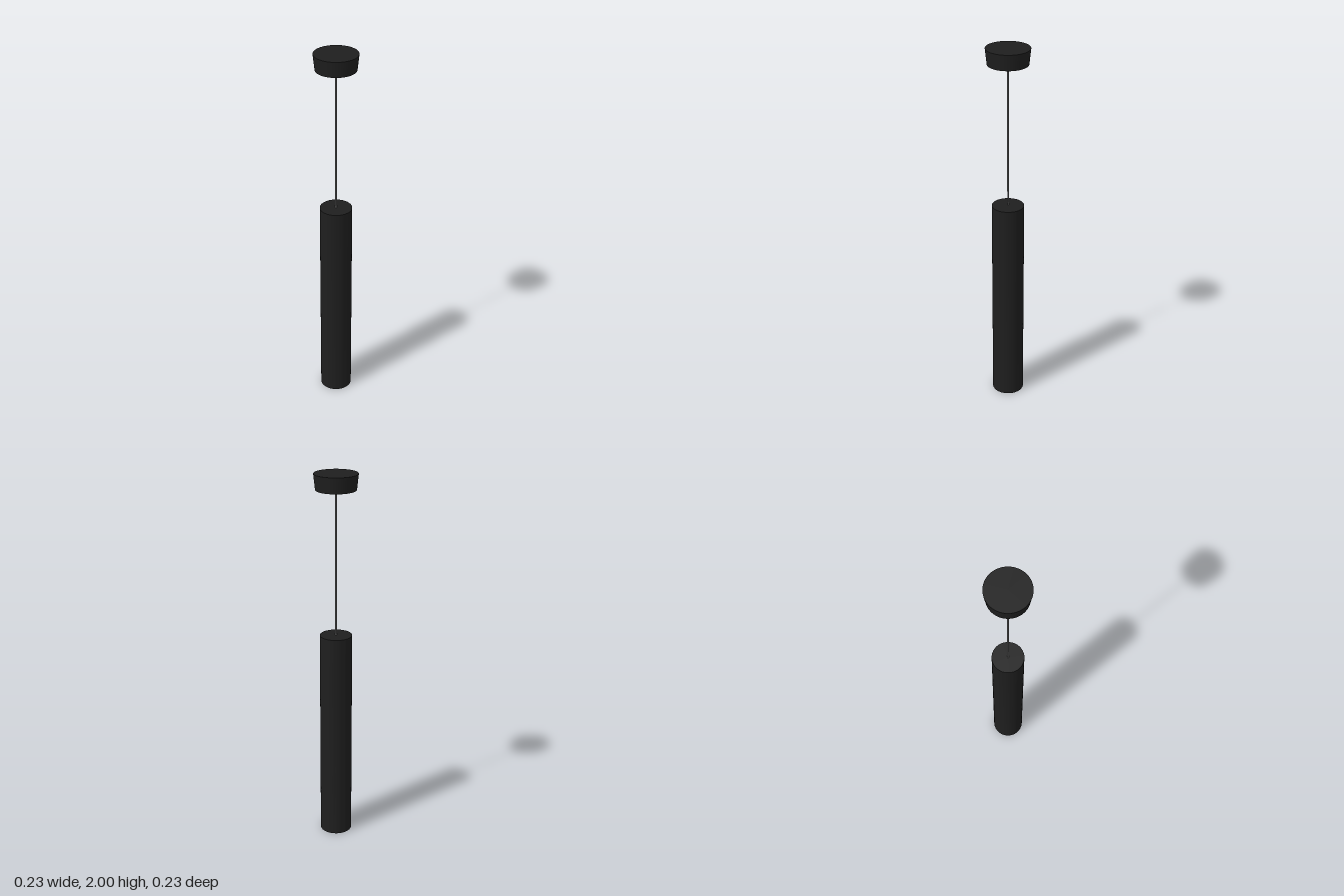
import * as THREE from 'three';
import { toCreasedNormals } from 'three/addons/utils/BufferGeometryUtils.js';

const SIDES = 64;

export function createModel() {
  const group = new THREE.Group();
  group.name = 'pendantLamp';
  const black = new THREE.MeshStandardMaterial({ color: 0x1e1e1e });
  const steel = new THREE.MeshStandardMaterial({ color: 0x777777 });
  const glass = new THREE.MeshStandardMaterial({ color: 0xaaa79f });

  const add = (name, geometry, material, y = 0, parent = group) => {
    const mesh = new THREE.Mesh(geometry, material);
    mesh.name = name;
    mesh.position.y = y;
    parent.add(mesh);
    return mesh;
  };
  const lathe = (points) => toCreasedNormals(
    new THREE.LatheGeometry(points.map(([r, y]) => new THREE.Vector2(r, y)), SIDES), 0.6);

  // Ceiling canopy, tapering slightly downwards
  add('canopy', new THREE.CylinderGeometry(0.114, 0.105, 0.083, SIDES), black, 1.9585);

  // Suspension cable
  add('cable', new THREE.CylinderGeometry(0.004, 0.004, 0.78, 12), steel, 1.53);

  // Long tubular shade, recessed at the lower end
  add('shade', lathe([
    [0, 0.05], [0.077, 0.05], [0.077, 0], [0.085, 0], [0.085, 1.145], [0, 1.145],
  ]), black);

  // Light diffuser inside the recess
  add('diffuser', new THREE.CylinderGeometry(0.07, 0.07, 0.008, SIDES), glass, 0.046);

  // Radial louvre in front of the diffuser
  const louvre = new THREE.Group();
  louvre.name = 'louvre';
  group.add(louvre);
  add('louvreHub', new THREE.CylinderGeometry(0.012, 0.012, 0.022, 24), black, 0.033, louvre);
  const finCount = 8;
  for (let i = 0; i < finCount; i++) {
    const spoke = new THREE.Group();
    spoke.name = 'louvreSpoke';
    spoke.rotation.y = (i / finCount) * Math.PI * 2;
    louvre.add(spoke);
    const fin = add('louvreFin', new THREE.BoxGeometry(0.068, 0.018, 0.006), black, 0.034, spoke);
    fin.position.x = 0.044;
  }
  return group;
}
